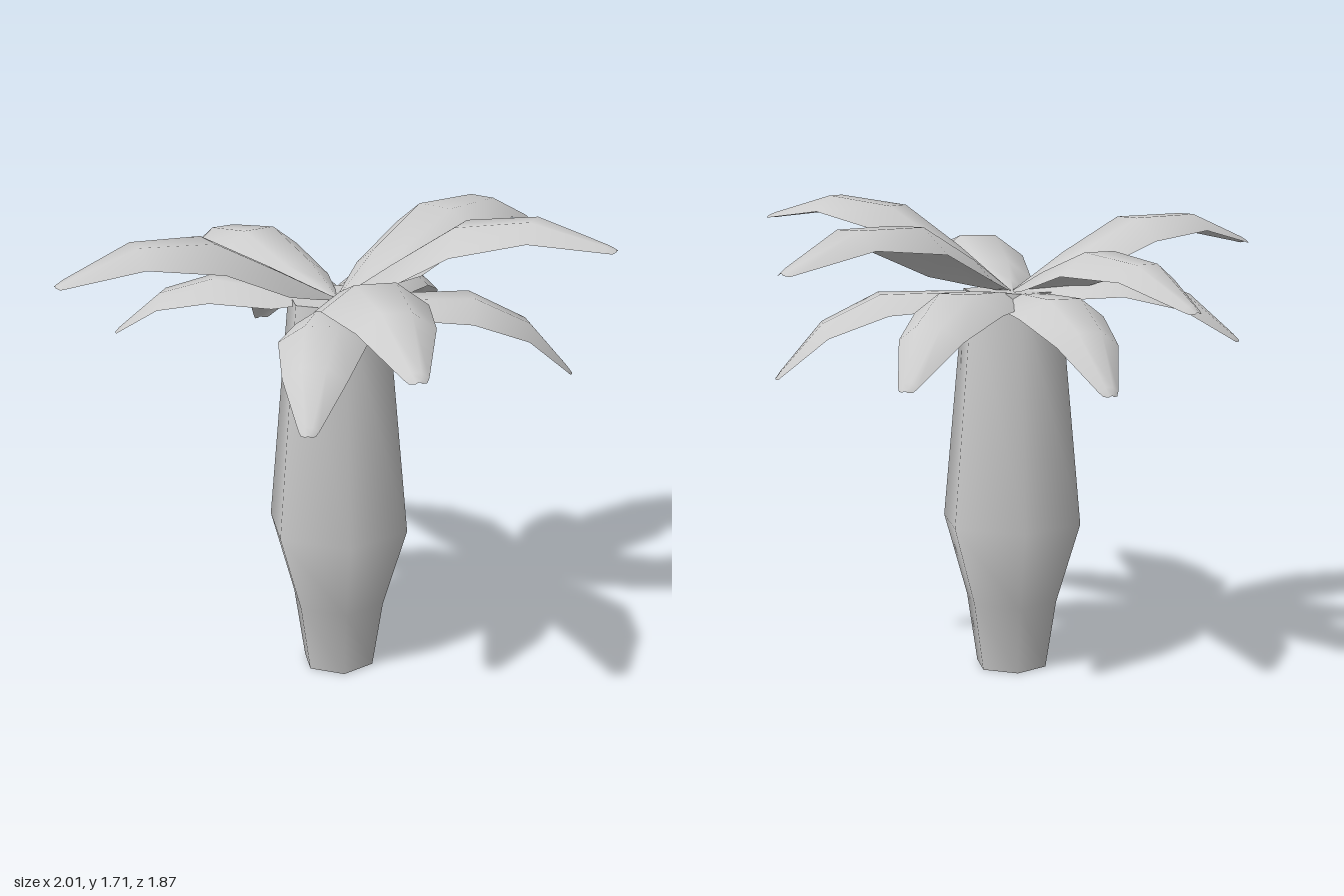
import * as THREE from 'three';

const material = new THREE.MeshStandardMaterial({ color: 0xcccccc, side: THREE.DoubleSide });
const BASE = new THREE.Vector3(-0.075, 1.38, 0);

// Unit-length arched frond along +x: rows of [distance, rib height, half width]
function frondGeometry() {
  const rows = [
    [0, 0, 0.008], [0.1, 0.035, 0.065], [0.25, 0.09, 0.143], [0.5, 0.175, 0.178],
    [0.75, 0.145, 0.128], [0.97, 0.02, 0.04], [0.99, 0.006, 0.028], [1, 0, 0.01],
  ];
  const across = [[-1, 0.45], [-0.38, 0], [0.38, 0], [1, 0.45]]; // side position, droop
  const n = across.length;
  const positions = [], index = [];
  rows.forEach(([x, y, w], i) => {
    across.forEach(([s, droop], j) => {
      positions.push(x, y - droop * w, s * w);
      if (i < rows.length - 1 && j < n - 1) {
        const a = i * n + j;
        index.push(a, a + 1, a + n, a + 1, a + n + 1, a + n);
      }
    });
  });
  const geometry = new THREE.BufferGeometry();
  geometry.setAttribute('position', new THREE.Float32BufferAttribute(positions, 3));
  geometry.setIndex(index);
  geometry.computeVertexNormals();
  return geometry;
}

// Place a frond so that it reaches from the crown to the given tip
function addFrond(parent, geometry, name, [x, y, z]) {
  const d = new THREE.Vector3(x, y, z).sub(BASE);
  const frond = new THREE.Mesh(geometry, material);
  frond.name = name;
  frond.position.copy(BASE);
  frond.rotation.set(0, Math.atan2(-d.z, d.x), Math.atan2(d.y, Math.hypot(d.x, d.z)), 'YZX');
  frond.scale.setScalar(d.length());
  parent.add(frond);
}

export function createModel() {
  const model = new THREE.Group();
  model.name = 'palmTree';

  // Six-sided swollen trunk
  const start = THREE.MathUtils.degToRad(20);
  const profile = [[0.134, 0], [0.174, 0.25], [0.264, 0.545], [0.184, 1.385]];
  const trunk = new THREE.Group();
  trunk.name = 'trunk';
  trunk.position.x = BASE.x;
  const side = new THREE.LatheGeometry(profile.map(([r, y]) => new THREE.Vector2(r, y)), 6, start);
  const bark = new THREE.Mesh(side, material);
  bark.name = 'bark';
  trunk.add(bark);

  // Flat ends of the trunk
  [profile[0], profile[3]].forEach(([r, y], i) => {
    const end = new THREE.CircleGeometry(r, 6, start - Math.PI / 2);
    end.rotateX(Math.PI / 2); // faces down
    // Align the corners with the trunk, then turn the upper end face up
    end.rotateY(Math.PI / 2 + 2 * start - start + start - Math.PI / 2 - start + start);
    const corner = new THREE.Vector3().fromBufferAttribute(end.attributes.position, 1);
    end.rotateY(start - Math.atan2(corner.x, corner.z));
    if (i === 1) end.scale(1, -1, 1);
    const cap = new THREE.Mesh(end, material);
    cap.name = i ? 'trunkTop' : 'trunkBottom';
    cap.position.y = y;
    trunk.add(cap);
  });
  model.add(trunk);

  // Crown: five long upper fronds and five shorter, hanging ones
  const crown = new THREE.Group();
  crown.name = 'crown';
  const geometry = frondGeometry();
  const upper = [[1, 1.5, 0.05], [-1, 1.535, -0.4], [0.23, 1.635, 0.93], [0.13, 1.375, -0.93], [-0.66, 1.375, 0.82]];
  const lower = [[0.76, 1.13, -0.25], [0.55, 1.08, 0.57], [-0.73, 1.14, 0.44], [-0.47, 1.22, -0.71], [0.31, 1.11, -0.73]];
  upper.forEach((tip) => addFrond(crown, geometry, 'upperFrond', tip));
  lower.forEach((tip) => addFrond(crown, geometry, 'lowerFrond', tip));
  model.add(crown);

  return model;
}
